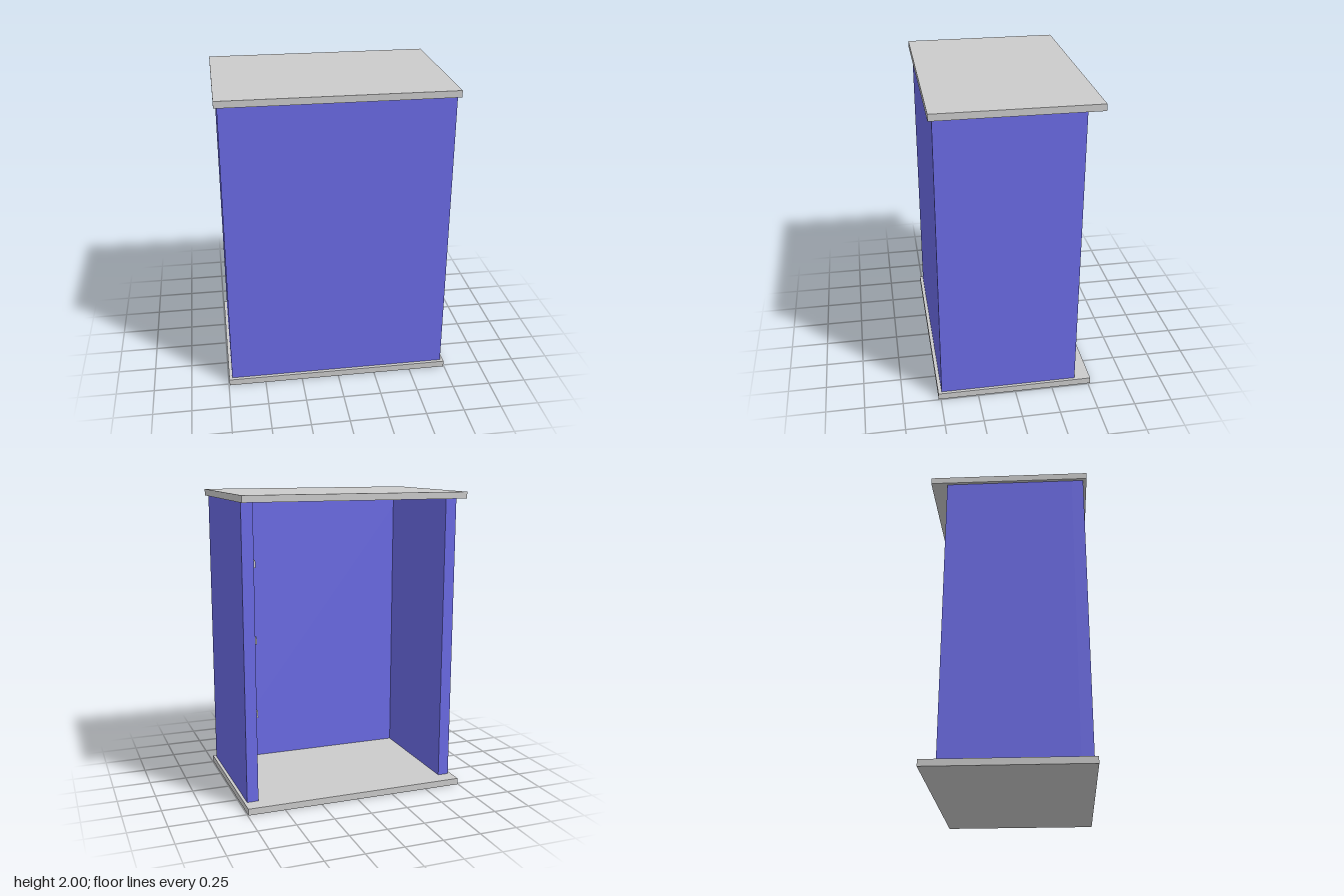
import * as THREE from 'three';

export function createModel() {
  const group = new THREE.Group();
  const grey = new THREE.MeshStandardMaterial({ color: 0xcccccc, flatShading: true });
  const blue = new THREE.MeshStandardMaterial({ color: 0x6b6be6, flatShading: true });

  const add = (parent, name, geometry, material, x, y, z) => {
    const mesh = new THREE.Mesh(geometry, material);
    mesh.name = name;
    mesh.position.set(x, y, z);
    parent.add(mesh);
    return mesh;
  };
  const box = (w, h, d) => new THREE.BoxGeometry(w, h, d);

  const plate = 0.043, wall = 0.075;
  const halfWidth = 0.725, front = 0.492, back = -0.41;
  const wallHeight = 2 - 2 * plate;

  // Overhanging base and top plates
  add(group, 'basePlate', box(1.49, plate, 1.03), grey, 0, plate / 2, 0);
  add(group, 'topPlate', box(1.49, plate, 1.03), grey, 0, 2 - plate / 2, 0);

  // Full-width front panel, with side walls butted against it; the back is open
  add(group, 'frontPanel', box(2 * halfWidth, wallHeight, wall), blue, 0, 1, front - wall / 2);
  const sideDepth = front - wall - back;
  for (const [name, side] of [['leftWall', 1], ['rightWall', -1]]) {
    add(group, name, box(wall, wallHeight, sideDepth), blue,
      side * (halfWidth - wall / 2), 1, back + sideDepth / 2);
  }

  // Three tapered square mounts with pegs on the inside of the left wall
  const mountDepth = 0.064, pegLength = 0.05;
  const mountGeometry = new THREE.CylinderGeometry(0.05 * Math.SQRT2, 0.1 * Math.SQRT2, mountDepth, 4)
    .rotateY(Math.PI / 4)
    .rotateZ(Math.PI / 2);
  for (const y of [0.5, 1.015, 1.53]) {
    const bracket = new THREE.Group();
    bracket.name = 'bracket';
    bracket.position.set(halfWidth - wall, y, 0.005);
    add(bracket, 'bracketMount', mountGeometry, grey, -mountDepth / 2, 0, 0);
    add(bracket, 'bracketPeg', box(pegLength, 0.05, 0.05), grey, -mountDepth - pegLength / 2, 0, 0);
    group.add(bracket);
  }

  return group;
}
